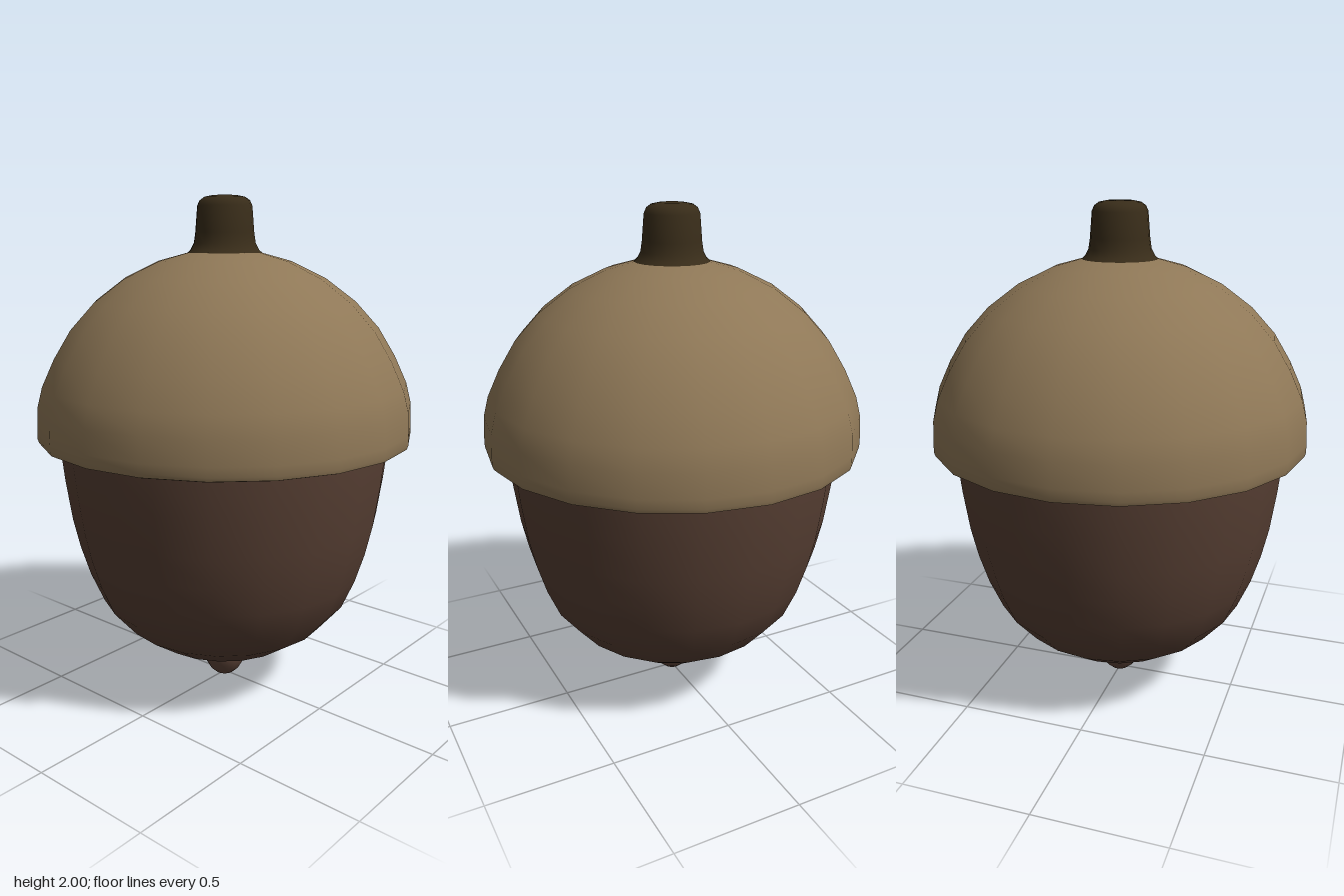
import * as THREE from 'three';
import { toCreasedNormals } from 'three/addons/utils/BufferGeometryUtils.js';

const SIDES = 20;

// Turned part from a [radius, height] profile listed bottom to top
function turned(name, color, profile) {
  const points = profile.map(([r, y]) => new THREE.Vector2(r, y));
  const geometry = toCreasedNormals(new THREE.LatheGeometry(points, SIDES), 0.8);
  const mesh = new THREE.Mesh(geometry, new THREE.MeshStandardMaterial({ color }));
  mesh.name = name;
  return mesh;
}

export function createModel() {
  const acorn = new THREE.Group();
  acorn.name = 'acorn';

  // Small point under the nut, sunk slightly into it
  acorn.add(turned('tip', 0x60463a, [
    [0, 0], [0.04, 0.005], [0.062, 0.025], [0.082, 0.06], [0.096, 0.095], [0.096, 0.15],
  ]));

  // Nut body, running up inside the cap
  acorn.add(turned('nut', 0x573f33, [
    [0, 0.125], [0.15, 0.14], [0.3, 0.193], [0.42, 0.275], [0.511, 0.38], [0.563, 0.5],
    [0.6, 0.62], [0.627, 0.74], [0.65, 0.9], [0.667, 1.06], [0.668, 1.12],
  ]));

  // Domed cap with a flat underside and a softened rim
  acorn.add(turned('cap', 0x8f7857, [
    [0.64, 1.055], [0.73, 1.055], [0.745, 1.06], [0.75, 1.075], [0.75, 1.11], [0.745, 1.2],
    [0.724, 1.28], [0.675, 1.385], [0.608, 1.495], [0.515, 1.597], [0.395, 1.687],
    [0.26, 1.752], [0.14, 1.785], [0, 1.795],
  ]));

  // Stem flaring out onto the cap
  acorn.add(turned('stem', 0x382c19, [
    [0.15, 1.78], [0.134, 1.795], [0.121, 1.82], [0.115, 1.86], [0.107, 1.96],
    [0.098, 1.98], [0.08, 1.993], [0.05, 1.999], [0, 2],
  ]));

  return acorn;
}
